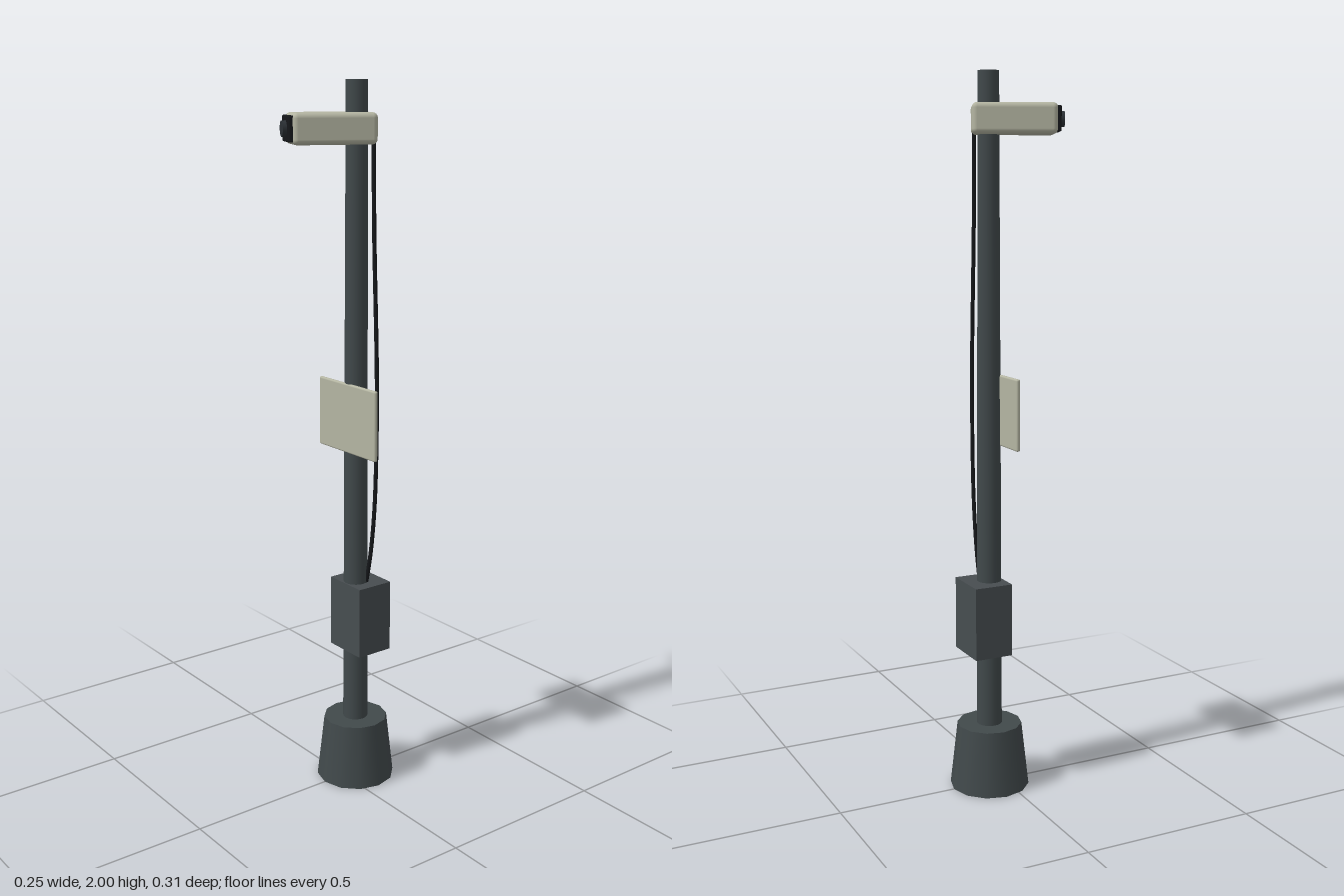
import * as THREE from 'three';
import { RoundedBoxGeometry } from 'three/addons/geometries/RoundedBoxGeometry.js';

const POLE_Z = -0.043;

function material(name, color) {
  const m = new THREE.MeshStandardMaterial({ color });
  m.name = name;
  return m;
}

export function createModel() {
  const poleMetal = material('dark pole metal', 0x41494b);
  const boxMetal = material('junction box grey', 0x474d50);
  const beige = material('warm beige', 0xb4b5a2);
  const black = material('black plastic', 0x15171a);
  const lensGrey = material('lens grey', 0x2c3136);

  const root = new THREE.Group();
  root.name = 'cameraPole';

  function add(name, geometry, mat, x = 0, y = 0, z = 0, parent = root) {
    const mesh = new THREE.Mesh(geometry, mat);
    mesh.name = name;
    mesh.position.set(x, y, z);
    parent.add(mesh);
    return mesh;
  }

  // Tapered twelve-sided foot and slender tapering pole
  add('base', new THREE.CylinderGeometry(0.092, 0.113, 0.185, 12), poleMetal, 0, 0.0925, POLE_Z);
  add('pole', new THREE.CylinderGeometry(0.029, 0.036, 1.83, 20), poleMetal, 0, 1.085, POLE_Z);

  // Junction box wrapped around the lower pole
  add('junctionBox', new THREE.BoxGeometry(0.136, 0.207, 0.111), boxMetal, 0, 0.5035, -0.0605);

  // Thin sign panel on the front of the pole
  add('signPanel', new RoundedBoxGeometry(0.253, 0.197, 0.012, 3, 0.005), beige, 0, 1.093, -0.015);

  // Camera head, turned towards the model's right
  const camera = new THREE.Group();
  camera.name = 'cameraHead';
  camera.position.set(-0.025, 1.876, 0.021);
  camera.rotation.y = -0.405;
  root.add(camera);
  add('cameraBody', new RoundedBoxGeometry(0.108, 0.082, 0.228, 4, 0.014), beige, 0, 0, 0, camera);
  add('cameraFace', new RoundedBoxGeometry(0.09, 0.068, 0.016, 2, 0.004), black, 0, 0, 0.115, camera);
  const lens = add('lens', new THREE.CylinderGeometry(0.021, 0.021, 0.02, 20), lensGrey, 0, 0, 0.124, camera);
  lens.rotation.x = Math.PI / 2;

  // Slack cable from the camera down to the junction box
  const path = new THREE.CatmullRomCurve3([
    [0.048, 1.85], [0.053, 1.6], [0.067, 1.25], [0.069, 1.1],
    [0.062, 0.85], [0.045, 0.7], [0.024, 0.6],
  ].map(([x, y]) => new THREE.Vector3(x, y, -0.062)));
  add('cable', new THREE.TubeGeometry(path, 48, 0.0058, 8), black);

  return root;
}
